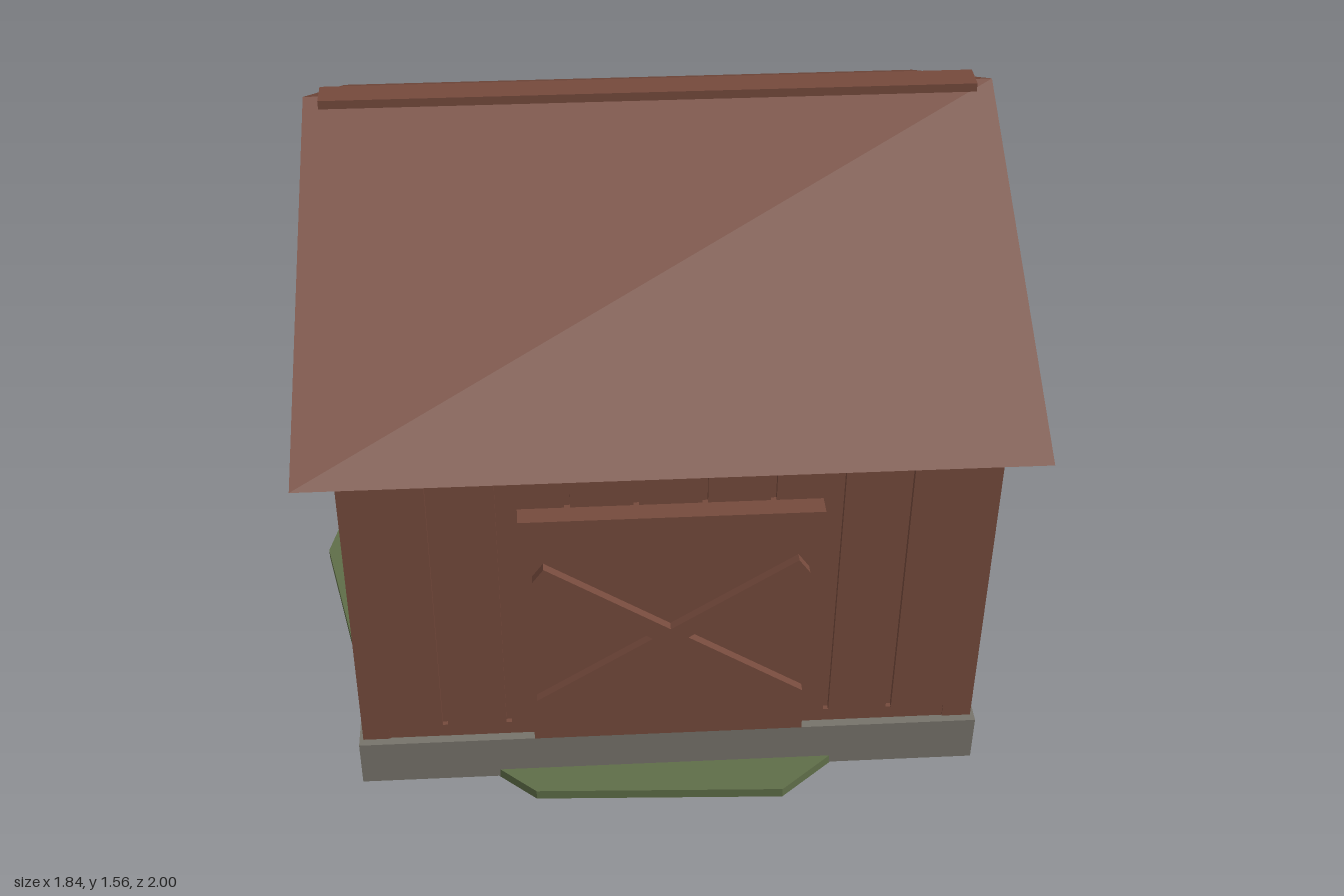
import * as THREE from 'three';

const wood = new THREE.MeshStandardMaterial({ name: 'barn wood', color: 0x754a3c });
const stone = new THREE.MeshStandardMaterial({ name: 'foundation stone', color: 0x76736a });
const grass = new THREE.MeshStandardMaterial({ name: 'grass', color: 0x5f6e48 });

export function createModel() {
  const model = new THREE.Group();
  model.name = 'barn';

  const add = (name, geometry, material) => {
    const mesh = new THREE.Mesh(geometry, material);
    mesh.name = name;
    model.add(mesh);
    return mesh;
  };
  // Box given by its limits on each axis
  const box = (name, [x0, x1], [y0, y1], [z0, z1], material = wood) => {
    const mesh = add(name, new THREE.BoxGeometry(x1 - x0, y1 - y0, z1 - z0), material);
    mesh.position.set((x0 + x1) / 2, (y0 + y1) / 2, (z0 + z1) / 2);
    return mesh;
  };

  // Irregular ten-sided grass patch: one radius per corner
  const radii = [0.875, 1.02, 1.05, 1.02, 0.97, 0.92, 0.97, 0.942, 1.05, 1.05];
  const outline = radii.map((r, i) => {
    const a = (i * Math.PI) / 5;
    return new THREE.Vector2(r * Math.cos(a), Math.min(1, Math.max(-1, r * Math.sin(a))));
  });
  const patch = new THREE.ExtrudeGeometry(new THREE.Shape(outline), { depth: 0.028, bevelEnabled: false });
  patch.rotateX(Math.PI / 2).translate(0, 0.028, 0);
  add('grassPatch', patch, grass);

  // Foundation and wall core
  box('foundation', [-0.77, 0.84], [0.004, 0.14], [-0.915, 0.89], stone);
  box('walls', [-0.742, 0.812], [0.14, 1.06], [-0.882, 0.855]);

  // Corner posts
  for (const x of [[-0.76, -0.69], [0.755, 0.83]])
    for (const z of [[-0.9, -0.825], [0.8, 0.87]]) box('cornerPost', x, [0.14, 1.06], z);

  // Front boards separated by narrow grooves, between two rails
  const grooves = [-0.545, -0.38, -0.215, -0.05, 0.115, 0.28, 0.445, 0.61];
  const edges = [-0.69, ...grooves, 0.755];
  for (let i = 0; i < edges.length - 1; i++) {
    const left = edges[i] + (i > 0 ? 0.007 : 0);
    const right = edges[i + 1] - (i < grooves.length ? 0.007 : 0);
    box('frontBoard', [left, right], [0.18, 1.02], [0.85, 0.87]);
  }
  box('bottomRail', [-0.69, 0.755], [0.14, 0.18], [0.85, 0.867]);
  box('topRail', [-0.69, 0.755], [1.02, 1.06], [0.85, 0.867]);

  // Sliding door with header and crossed braces
  box('door', [-0.315, 0.38], [0.147, 0.865], [0.86, 0.897]);
  box('doorHeader', [-0.335, 0.4], [0.85, 0.905], [0.86, 0.92]);
  for (const side of [-1, 1]) {
    const brace = add('doorBrace', new THREE.BoxGeometry(0.787, 0.05, 0.03), wood);
    brace.position.set(0.033, 0.51, 0.905);
    brace.rotation.z = side * 0.602;
  }

  // Bracket on the left wall
  box('wallBracket', [0.8, 0.905], [0.795, 1.01], [0.225, 0.26]);

  // Solid gable roof with ridge cap
  const gable = new THREE.Shape([
    new THREE.Vector2(-0.965, 1.06),
    new THREE.Vector2(0.99, 1.06),
    new THREE.Vector2(0.0125, 1.55),
  ]);
  const roof = new THREE.ExtrudeGeometry(gable, { depth: 1.77, bevelEnabled: false });
  roof.rotateY(Math.PI / 2).translate(-0.85, 0, 0);
  add('roof', roof, wood);
  box('ridgeCap', [-0.81, 0.875], [1.532, 1.556], [-0.053, 0.023]);

  return model;
}
